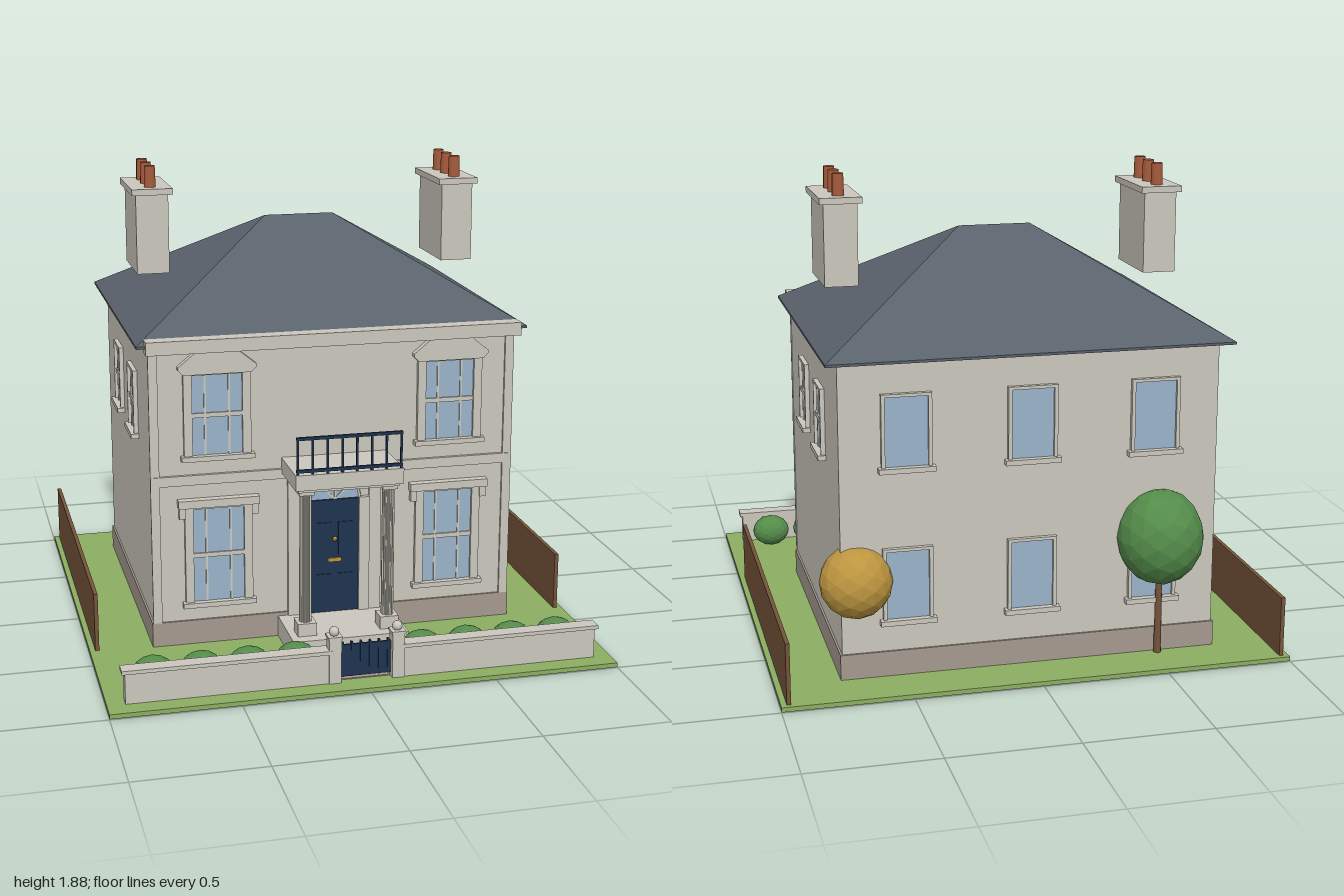
import * as THREE from 'three';
import { ConvexGeometry } from 'three/addons/geometries/ConvexGeometry.js';

function mat(name, color, flat = false) {
  const m = new THREE.MeshStandardMaterial({ color, flatShading: flat });
  m.name = name;
  return m;
}

export function createModel() {
  const stone = mat('stone', 0xcbc7bd), glass = mat('glass', 0x9ab4c9), slate = mat('slate', 0x59616a);
  const navy = mat('navy paint', 0x1f3350), grass = mat('grass', 0x8cae62), leaf = mat('leaf', 0x548c4a, true);
  const wood = mat('wood', 0x74543a), gold = mat('gold', 0xbd953f, true), clay = mat('clay', 0xa85c3c);
  const paving = mat('paving', 0xa5998e);

  const model = new THREE.Group();
  model.name = 'house';
  const add = (parent, name, geo, m, x = 0, y = 0, z = 0) => {
    const mesh = new THREE.Mesh(geo, m);
    mesh.name = name;
    mesh.position.set(x, y, z);
    parent.add(mesh);
    return mesh;
  };
  // Box given by its minimum and maximum corners
  const box = (parent, name, m, x0, x1, y0, y1, z0, z1) =>
    add(parent, name, new THREE.BoxGeometry(x1 - x0, y1 - y0, z1 - z0), m,
      (x0 + x1) / 2, (y0 + y1) / 2, (z0 + z1) / 2);
  const group = (name, x, y, z, turn = 0) => {
    const g = new THREE.Group();
    g.name = name;
    g.position.set(x, y, z);
    g.rotation.y = turn;
    model.add(g);
    return g;
  };
  const sides = [-1, 1];

  // Ground, path and fences
  box(model, 'lawn', grass, -1, 1, 0.002, 0.02, -1, 1);
  box(model, 'path', paving, -0.1, 0.1, 0, 0.024, 0.69, 0.9);
  for (const s of sides) box(model, 'fence', wood, s * 0.97 - 0.008, s * 0.97 + 0.008, 0.02, 0.26, -0.98, 0.4);

  // Main walls and trim
  const W = 0.74, F = 0.41, B = -0.8;
  box(model, 'walls', stone, -W, W, 0.02, 1.262, B, F);
  box(model, 'plinth', paving, -W - 0.008, W + 0.008, 0.02, 0.12, B - 0.008, F + 0.008);
  for (const s of sides) box(model, 'cornerPilaster', stone, s * 0.726 - 0.018, s * 0.726 + 0.018, 0.12, 1.23, F, F + 0.01);
  box(model, 'stringCourse', stone, -W - 0.004, W + 0.004, 0.69, 0.73, F, F + 0.014);
  box(model, 'cornice', stone, -0.757, 0.757, 1.232, 1.285, 0.4, 0.467);

  // Hipped roof
  const roofPoints = [];
  for (const x of sides) {
    for (const z of [-0.85, 0.44]) for (const y of [1.254, 1.264]) roofPoints.push(new THREE.Vector3(x * 0.79, y, z));
    roofPoints.push(new THREE.Vector3(x * 0.145, 1.645, -0.205));
  }
  add(model, 'roof', new ConvexGeometry(roofPoints), slate);

  // Chimneys with three pots each
  for (const s of sides) {
    const c = group('chimney', s * 0.643, 0, -0.2);
    box(c, 'chimneyStack', stone, -0.066, 0.066, 1.45, 1.775, -0.158, 0.158);
    box(c, 'chimneyCap', stone, -0.083, 0.083, 1.772, 1.797, -0.175, 0.175);
    for (const z of [-0.107, 0, 0.107])
      add(c, 'chimneyPot', new THREE.CylinderGeometry(0.022, 0.024, 0.09, 10), clay, 0, 1.838, z);
  }

  // Window: origin at the bottom centre of the glass, z pointing out of the wall
  const makeWindow = (name, x, y, z, turn, w, h, border, barred) => {
    const g = group(name, x, y, z, turn), a = w / 2, b = a + border;
    box(g, 'glass', glass, -a, a, 0, h, 0, 0.006);
    for (const s of sides) {
      const c = s * (a + border / 2);
      box(g, 'jamb', stone, c - border / 2, c + border / 2, 0, h, 0, 0.018);
    }
    box(g, 'lintel', stone, -b, b, h, h + 0.012, 0, 0.018);
    box(g, 'sill', stone, -b - 0.012, b + 0.012, -0.02, 0, 0, 0.032);
    if (barred) {
      for (const s of sides) box(g, 'glazingBar', stone, s * w * 0.24 - 0.004, s * w * 0.24 + 0.004, 0, h, 0, 0.011);
      box(g, 'meetingRail', stone, -a, a, h / 2 - 0.009, h / 2 + 0.009, 0, 0.013);
    }
    return g;
  };

  for (const s of sides) {
    // Upper front window with a low pediment
    const up = makeWindow('upperFrontWindow', s * 0.475, 0.81, F, 0, 0.2, 0.325, 0.034, true);
    const ped = new THREE.Shape([[-0.135, 0.33], [0.135, 0.33], [0.155, 0.35], [0.155, 0.362], [0.09, 0.415],
      [-0.09, 0.415], [-0.155, 0.362], [-0.155, 0.35]].map(p => new THREE.Vector2(...p)));
    add(up, 'pediment', new THREE.ExtrudeGeometry(ped, { depth: 0.028, bevelEnabled: false }), stone);
    // Lower front window with a bracketed hood
    const low = makeWindow('lowerFrontWindow', s * 0.475, 0.2, F, 0, 0.205, 0.39, 0.034, true);
    box(low, 'hood', stone, -0.163, 0.163, 0.4, 0.432, 0, 0.035);
    for (const t of sides) box(low, 'bracket', stone, t * 0.146 - 0.013, t * 0.146 + 0.013, 0.355, 0.4, 0, 0.024);
    // Side windows
    for (const z of [0.003, -0.4])
      makeWindow('sideWindow', s * W, 0.82, z, s * Math.PI / 2, 0.155, 0.25, 0.009, true);
  }
  // Rear windows
  for (const x of [-0.485, 0, 0.485]) for (const y of [0.25, 0.85])
    makeWindow('rearWindow', x, y, B, Math.PI, 0.165, 0.27, 0.014, false);

  // Front door, fanlight and fittings
  const door = group('frontDoor', 0, 0, F);
  box(door, 'doorLeaf', navy, -0.1, 0.1, 0.1, 0.585, 0, 0.01);
  for (const s of sides) {
    box(door, 'doorJamb', stone, s * 0.122 - 0.022, s * 0.122 + 0.022, 0.1, 0.59, 0, 0.02);
    for (const y of [0.2, 0.42]) box(door, 'doorPanel', navy, s * 0.045 - 0.03, s * 0.045 + 0.03, y - 0.07, y + 0.07, 0.01, 0.014);
  }
  add(door, 'knob', new THREE.SphereGeometry(0.01, 10, 8), gold, 0, 0.42, 0.018);
  box(door, 'letterPlate', gold, -0.028, 0.028, 0.322, 0.338, 0.01, 0.017);
  add(door, 'fanlight', new THREE.CircleGeometry(0.1, 20, 0, Math.PI), glass, 0, 0.59, 0.016);
  add(door, 'fanlightArch', new THREE.TorusGeometry(0.102, 0.006, 6, 20, Math.PI), stone, 0, 0.59, 0.014);
  for (let i = 1; i < 4; i++) {
    const a = i * Math.PI / 4;
    const spoke = add(door, 'fanlightSpoke', new THREE.BoxGeometry(0.1, 0.007, 0.006), stone,
      Math.cos(a) * 0.05, 0.59 + Math.sin(a) * 0.05, 0.018);
    spoke.rotation.z = a;
  }

  // Porch with columns and balcony railing
  const porch = group('porch', 0, 0, 0);
  box(porch, 'porchStep', stone, -0.235, 0.235, 0.02, 0.105, F, 0.7);
  box(porch, 'porchBeam', stone, -0.203, 0.203, 0.7, 0.715, F, 0.65);
  box(porch, 'porchCanopy', stone, -0.217, 0.217, 0.712, 0.775, F, 0.663);
  // Fluted column section
  const flute = new THREE.Shape(Array.from({ length: 48 }, (_, i) => {
    const a = i * Math.PI / 24, r = i % 4 < 2 ? 0.025 : 0.021;
    return new THREE.Vector2(Math.cos(a) * r, Math.sin(a) * r);
  }));
  const shaft = new THREE.ExtrudeGeometry(flute, { depth: 0.535, bevelEnabled: false }).rotateX(-Math.PI / 2);
  for (const s of sides) {
    const x = s * 0.168;
    box(porch, 'columnBase', stone, x - 0.038, x + 0.038, 0.105, 0.157, 0.575, 0.65);
    add(porch, 'column', shaft, stone, x, 0.156, 0.613);
    box(porch, 'capital', stone, x - 0.03, x + 0.03, 0.685, 0.702, 0.583, 0.643);
    box(porch, 'wallPilaster', stone, x - 0.025, x + 0.025, 0.105, 0.7, F, F + 0.014);
  }
  for (const y of [0.79, 0.92]) box(porch, 'handRail', navy, -0.212, 0.212, y - 0.006, y + 0.006, 0.649, 0.661);
  for (let i = 0; i < 8; i++) {
    const x = -0.207 + i * 0.414 / 7;
    box(porch, 'baluster', navy, x - 0.004, x + 0.004, 0.775, 0.92, 0.651, 0.659);
  }

  // Garden wall, gate posts and gate
  for (const s of sides) {
    const w = group('gardenWall', s * 0.54, 0, 0.9);
    box(w, 'wall', stone, -0.39, 0.39, 0, 0.145, -0.024, 0.024);
    box(w, 'coping', stone, -0.402, 0.402, 0.14, 0.155, -0.031, 0.031);
    const p = group('gatePost', s * 0.125, 0, 0.905);
    box(p, 'post', stone, -0.024, 0.024, 0.02, 0.2, -0.024, 0.024);
    box(p, 'postCap', stone, -0.028, 0.028, 0.2, 0.21, -0.028, 0.028);
    add(p, 'finial', new THREE.SphereGeometry(0.02, 12, 8), stone, 0, 0.225, 0);
  }
  box(model, 'gate', navy, -0.1, 0.1, 0.035, 0.165, 0.895, 0.905);
  for (let i = 0; i < 6; i++) {
    const x = -0.09 + i * 0.036;
    box(model, 'gateBar', navy, x - 0.004, x + 0.004, 0.035, 0.175, 0.892, 0.908);
  }

  // Hedge bushes with a few blooms
  const blob = (name, m, x, y, z, rx, ry, rz, detail) =>
    add(model, name, new THREE.IcosahedronGeometry(1, detail), m, x, y, z).scale.set(rx, ry, rz);
  for (const s of sides) for (let i = 0; i < 4; i++)
    blob('bush', leaf, s * (0.253 + i * 0.185), 0.086, 0.81, 0.082, 0.068, 0.068, 2);
  for (const x of [-0.78, 0.28, 0.835]) blob('bloom', clay, x, 0.128, 0.848, 0.013, 0.013, 0.013, 1);

  // Trees
  const tree = (m, x, y, z, r, ry) => {
    add(model, 'treeTrunk', new THREE.CylinderGeometry(0.012, 0.016, y, 8), wood, x, y / 2, z);
    blob('treeCrown', m, x, y, z, r, ry, r, 2);
  };
  tree(leaf, -0.51, 0.5, -0.825, 0.17, 0.19);
  tree(gold, 0.68, 0.405, -0.785, 0.14, 0.142);

  return model;
}
